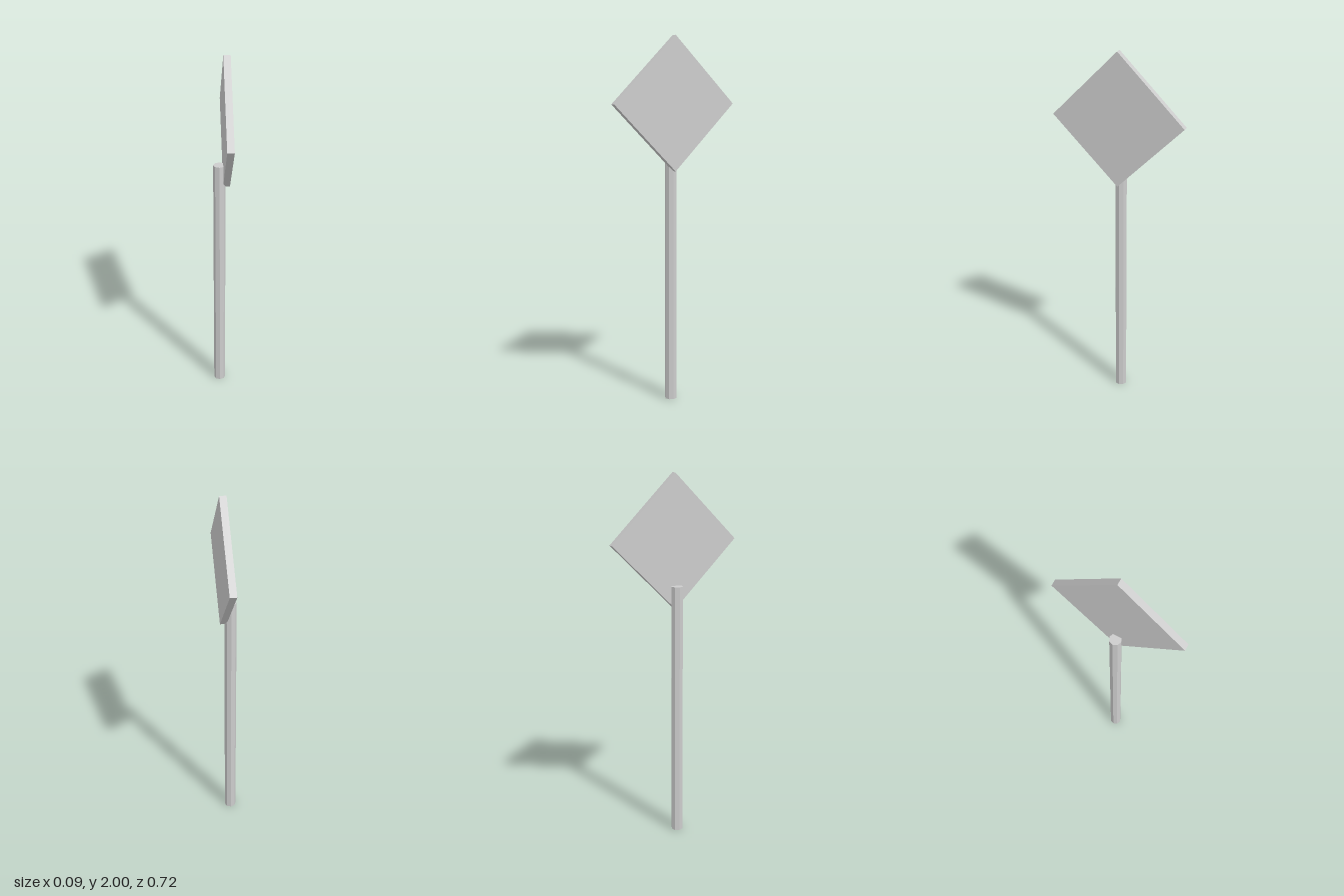
import * as THREE from 'three';

export function createModel() {
  const group = new THREE.Group();
  const grey = new THREE.MeshStandardMaterial({ color: 0xcccccc, flatShading: true });
  grey.name = 'light grey';

  // Octagonal post, corners on the x and z axes
  const postHeight = 1.41;
  const post = new THREE.Mesh(new THREE.CylinderGeometry(0.0325, 0.0325, postHeight, 8), grey);
  post.name = 'post';
  post.position.set(-0.012, postHeight / 2, 0);
  group.add(post);

  // Square sign board standing on its corner, facing +x
  const halfDiagonal = 0.358;
  const side = halfDiagonal * Math.SQRT2;
  const board = new THREE.Mesh(new THREE.BoxGeometry(0.036, side, side), grey);
  board.name = 'signBoard';
  board.rotation.x = Math.PI / 4;
  board.position.set(0.026, 2 - halfDiagonal, 0);
  group.add(board);

  return group;
}
